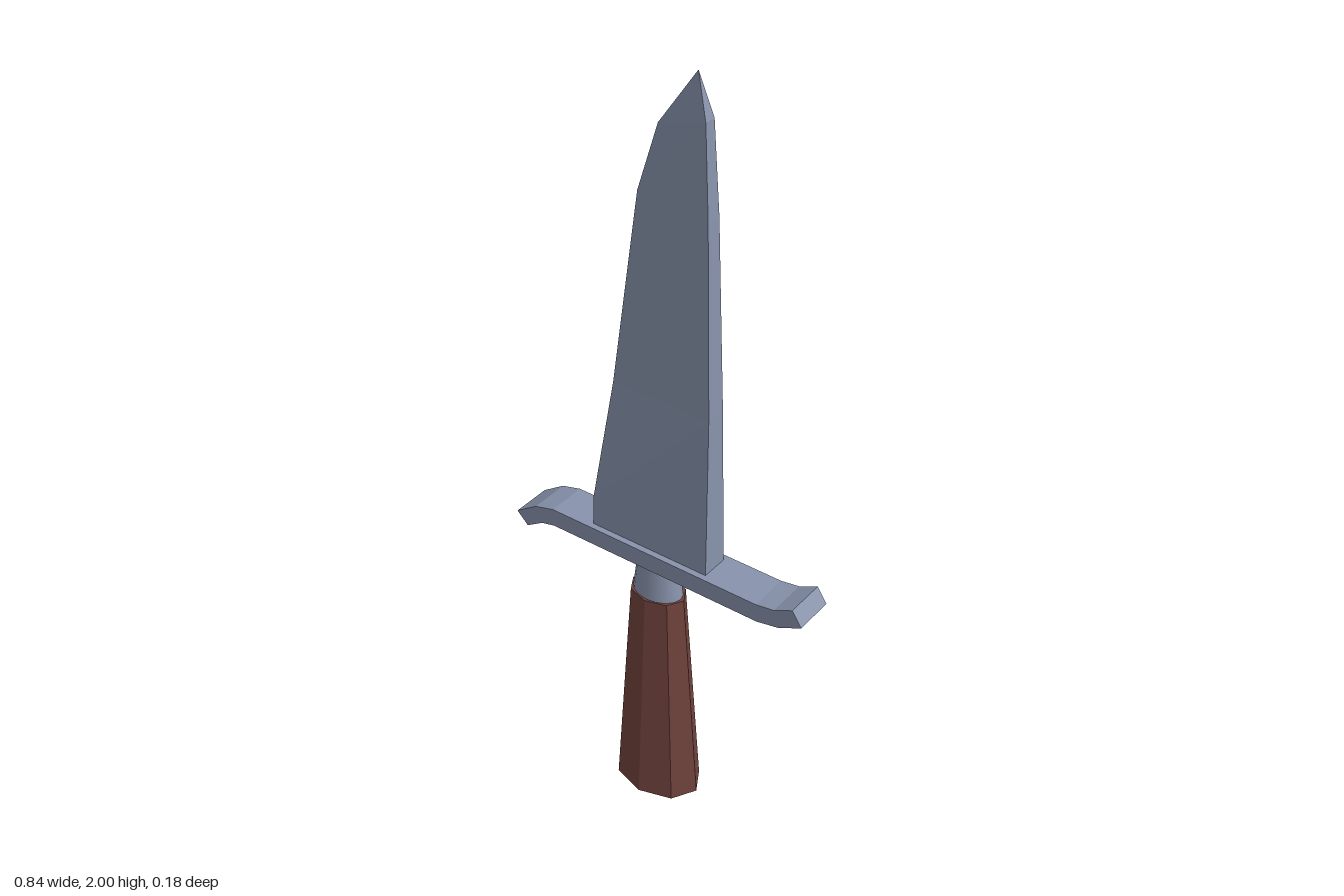
import * as THREE from 'three';

const steel = new THREE.MeshStandardMaterial({ color: 0x8893ac });
steel.name = 'steel';
const wood = new THREE.MeshStandardMaterial({ color: 0x70423c });
wood.name = 'redBrownWood';

// Blade rows: cutting edge x, y, half thickness, then spine x, y, half thickness
const BLADE_ROWS = [
  [-0.19, 0.765, 0.037, 0.143, 0.765, 0.037],
  [-0.19, 0.85, 0.035, 0.142, 0.85, 0.035],
  [-0.15, 1.18, 0, 0.138, 1.2, 0.027],
  [-0.075, 1.69, 0, 0.123, 1.68, 0.02],
  [-0.02, 1.86, 0, 0.11, 1.9, 0.015],
  [0.08, 2, 0, 0.08, 2, 0],
];

// Join four-cornered cross-sections into a closed, faceted blade
function bladeGeometry(rows) {
  const sections = rows.map(([xl, yl, hl, xr, yr, hr]) => [
    new THREE.Vector3(xl, yl, hl), new THREE.Vector3(xr, yr, hr),
    new THREE.Vector3(xr, yr, -hr), new THREE.Vector3(xl, yl, -hl),
  ]);
  const points = [];
  const tri = (a, b, c) => {
    if (!a.equals(b) && !b.equals(c) && !c.equals(a)) points.push(a, b, c);
  };
  for (let r = 0; r < sections.length - 1; r++) {
    const low = sections[r], high = sections[r + 1];
    for (let i = 0; i < 4; i++) {
      const j = (i + 1) % 4;
      tri(low[i], low[j], high[j]);
      tri(low[i], high[j], high[i]);
    }
  }
  const [a, b, c, d] = sections[0];
  tri(a, c, b);
  tri(a, d, c);
  const geometry = new THREE.BufferGeometry().setFromPoints(points);
  geometry.computeVertexNormals();
  return geometry;
}

// Guard outline: flat bar, one end bent down and the other bent up
function guardGeometry() {
  const shape = new THREE.Shape([
    [-0.39, 0.684], [-0.342, 0.714], [-0.302, 0.723], [0.3, 0.723], [0.36, 0.735], [0.42, 0.765],
    [0.394, 0.804], [0.345, 0.78], [0.295, 0.772], [-0.305, 0.772], [-0.36, 0.757], [-0.422, 0.716],
  ].map(([x, y]) => new THREE.Vector2(x, y)));
  const geometry = new THREE.ExtrudeGeometry(shape, { depth: 0.106, bevelEnabled: false });
  geometry.translate(0, 0, -0.053);
  return geometry;
}

// Tapered oval section of the grip
function taper(rTop, rBottom, y0, y1, sides) {
  const geometry = new THREE.CylinderGeometry(rTop, rBottom, y1 - y0, sides);
  geometry.scale(1, 1, 0.72);
  geometry.translate(-0.0225, (y0 + y1) / 2, 0);
  return geometry;
}

export function createModel() {
  const model = new THREE.Group();
  model.name = 'dagger';
  const add = (name, geometry, material) => {
    const mesh = new THREE.Mesh(geometry, material);
    mesh.name = name;
    model.add(mesh);
  };

  add('blade', bladeGeometry(BLADE_ROWS), steel);
  add('guard', guardGeometry(), steel);
  add('collar', taper(0.054, 0.068, 0.62, 0.73, 16), steel);
  // Eight flat sides on the grip
  const grip = taper(0.077, 0.122, 0, 0.625, 8).toNonIndexed();
  grip.computeVertexNormals();
  add('grip', grip, wood);

  return model;
}
